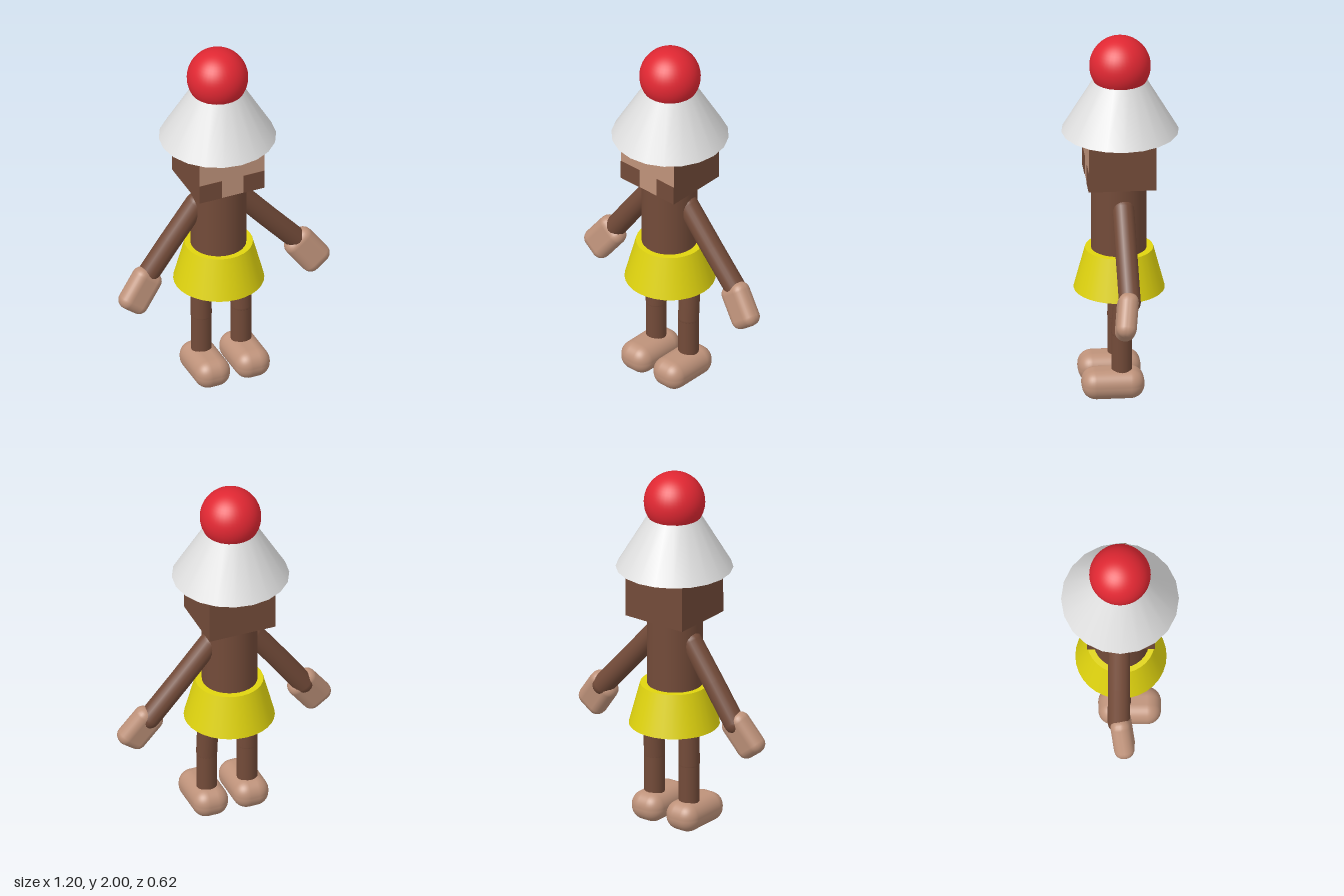
import * as THREE from 'three';
import { RoundedBoxGeometry } from 'three/addons/geometries/RoundedBoxGeometry.js';

function mat(name, color) {
  const m = new THREE.MeshStandardMaterial({ color });
  m.name = name;
  return m;
}

export function createModel() {
  const root = new THREE.Group();
  root.name = 'figure';
  const brown = mat('brown', 0x734b39);
  const skin = mat('skin', 0xbe927a);
  const red = mat('red', 0xe02732);
  const pale = mat('paleGrey', 0xe0e0e0);
  const yellow = mat('yellow', 0xe0d40f);
  const cx = -0.03; // body axis

  function add(name, geometry, material, x, y, z) {
    const mesh = new THREE.Mesh(geometry, material);
    mesh.name = name;
    mesh.position.set(x, y, z);
    root.add(mesh);
    return mesh;
  }

  // round-ended limb between two points
  function limb(name, a, b, r) {
    const from = new THREE.Vector3(...a), to = new THREE.Vector3(...b);
    const dir = to.clone().sub(from);
    const mid = from.clone().add(to).multiplyScalar(0.5);
    const mesh = add(name, new THREE.CapsuleGeometry(r, dir.length(), 6, 20), brown, mid.x, mid.y, mid.z);
    mesh.quaternion.setFromUnitVectors(new THREE.Vector3(0, 1, 0), dir.normalize());
  }

  // hat with pompom
  add('pompom', new THREE.SphereGeometry(0.162, 40, 28), red, cx, 1.838, 0);
  add('hat', new THREE.CylinderGeometry(0.14, 0.31, 0.29, 20), pale, cx, 1.615, 0);

  // head: pale front with two brown cheek plates
  add('head', new THREE.BoxGeometry(0.375, 0.29, 0.355),
    [brown, brown, brown, brown, skin, brown], -0.027, 1.343, 0.003);
  add('rightCheek', new THREE.BoxGeometry(0.13, 0.107, 0.006), brown, -0.149, 1.252, 0.18);
  add('leftCheek', new THREE.BoxGeometry(0.122, 0.107, 0.006), brown, 0.0995, 1.252, 0.18);

  // torso and skirt
  add('torso', new THREE.CylinderGeometry(0.147, 0.147, 0.5, 32), brown, -0.028, 0.95, 0.007);
  add('skirt', new THREE.CylinderGeometry(0.18, 0.24, 0.228, 32), yellow, -0.025, 0.691, 0.005);

  for (const s of [-1, 1]) {
    const side = s < 0 ? 'right' : 'left';

    // arm, bent slightly at the elbow
    const shoulder = [s < 0 ? -0.15 : 0.09, 1.07, -0.006];
    const elbow = [s < 0 ? -0.295 : 0.26, 0.875, -0.008];
    limb(side + 'UpperArm', shoulder, elbow, 0.058);
    limb(side + 'Forearm', elbow, [s * 0.435, 0.68, -0.01], 0.058);

    // mitten hand, tipped forward
    const hand = add(side + 'Hand', new RoundedBoxGeometry(0.172, 0.245, 0.108, 3, 0.05), skin, s * 0.48, 0.617, 0.01);
    hand.quaternion.setFromUnitVectors(new THREE.Vector3(0, -1, 0),
      new THREE.Vector3(s * 0.6, -0.8, 0.13).normalize());

    // leg and foot
    const lx = s < 0 ? -0.125 : 0.104;
    const knee = [lx, 0.37, 0.003];
    limb(side + 'Thigh', [lx - (s > 0 ? 0.002 : 0), 0.6, s > 0 ? -0.012 : 0], knee, 0.056);
    limb(side + 'Shin', knee, [lx, 0.1, 0.003], 0.055);
    add(side + 'Foot', new RoundedBoxGeometry(0.195, 0.158, 0.33, 5, 0.074), skin, lx, 0.084, 0.05);
  }
  // rest on the ground
  root.children.forEach((m) => { m.position.y -= 0.004; });
  return root;
}
